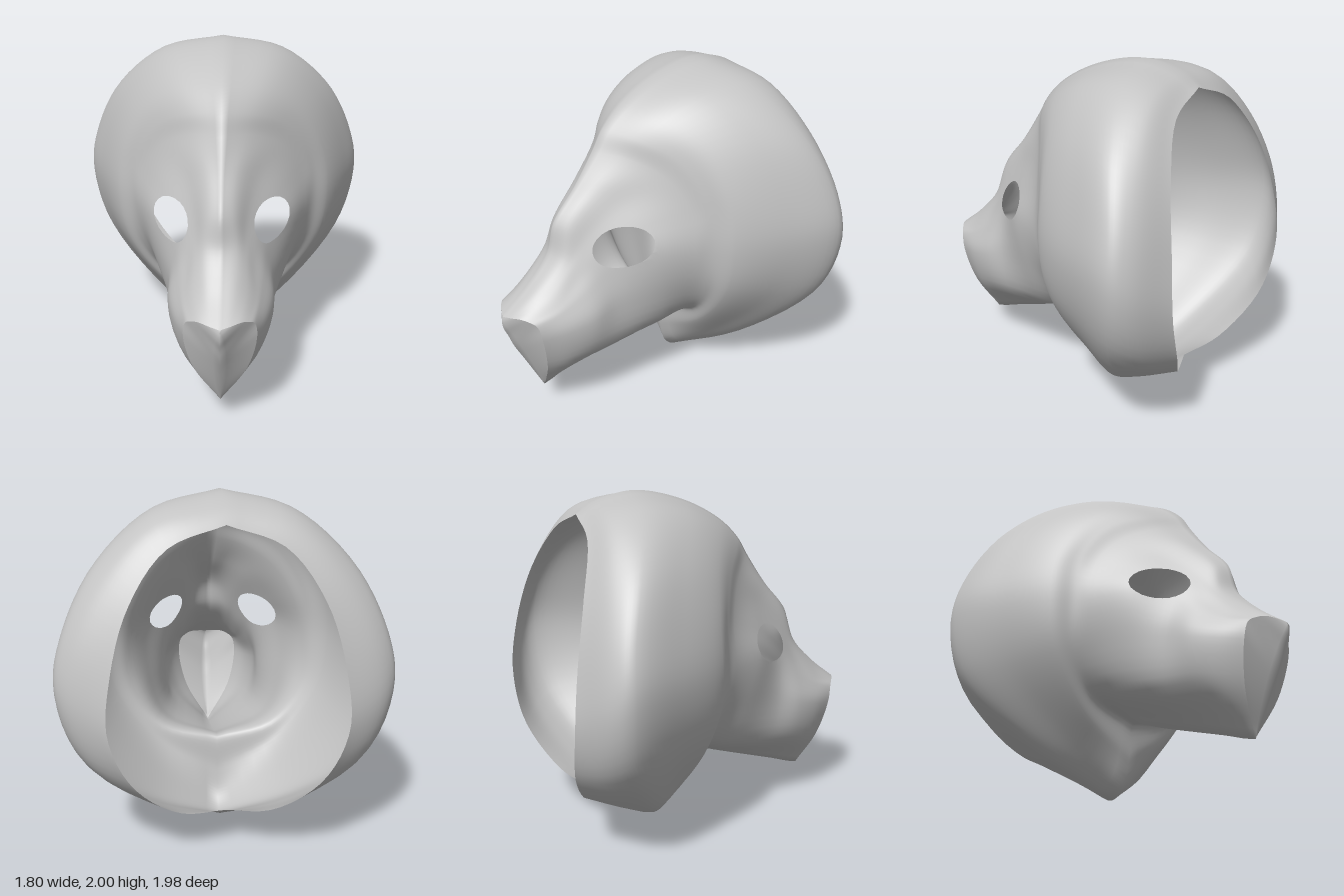
import * as THREE from 'three';
import { mergeVertices } from 'three/addons/utils/BufferGeometryUtils.js';

const V = (p) => new THREE.Vector3(...p);
const HALF = 36; // segments from the top centre line to the bottom one

// Half cross-sections [x, y, z] from top to bottom, running from back to front
const RIM = [[0, 1.88, -.74], [.3, 1.77, -.78], [.5, 1.5, -.88], [.6, 1.15, -.96], [.62, .85, -.99], [.5, .55, -.96], [.25, .31, -.83], [0, .26, -.73]];
const LIP = [[0, 1.95, -.62], [.36, 1.87, -.67], [.63, 1.6, -.77], [.8, 1.25, -.85], [.84, .95, -.87], [.72, .6, -.83], [.36, .26, -.64], [0, .08, -.46]];
const WIDEST = [[0, 2, -.4], [.38, 1.91, -.48], [.68, 1.65, -.63], [.85, 1.32, -.74], [.9, 1.05, -.76], [.8, .66, -.72], [.42, .25, -.5], [0, 0, -.3]];
const CROWN = [[0, 1.94, -.1], [.33, 1.87, -.2], [.6, 1.65, -.35], [.76, 1.33, -.44], [.8, 1.05, -.45], [.71, .7, -.44], [.38, .32, -.32], [0, .06, -.21]];
const FOREHEAD = [[0, 1.82, .14], [.27, 1.77, .02], [.49, 1.61, -.11], [.63, 1.33, -.17], [.66, 1.05, -.17], [.6, .75, -.18], [.36, .43, -.18], [0, .22, -.165]];
const BROW = [[0, 1.7, .27], [.2, 1.66, .16], [.39, 1.56, .02], [.53, 1.33, -.07], [.56, 1.05, -.08], [.52, .77, -.11], [.34, .52, -.14], [0, .42, -.14]];
const FACE = [[0, 1.58, .345], [.17, 1.56, .22], [.35, 1.46, .08], [.47, 1.28, 0], [.51, 1.05, 0], [.47, .78, -.04], [.32, .53, -.08], [0, .43, -.11]];
const CHEEK = [[0, 1.4, .47], [.1, 1.4, .4], [.22, 1.33, .29], [.33, 1.2, .24], [.4, 1.05, .22], [.41, .8, .15], [.3, .5, .1], [0, .36, .08]];
const BRIDGE = [[0, 1.22, .62], [.08, 1.21, .57], [.15, 1.15, .5], [.22, 1.06, .46], [.27, .95, .43], [.31, .75, .4], [.27, .47, .36], [0, .27, .36]];
const SNOUT = [[0, 1.04, .67], [.09, 1.03, .64], [.14, 1, .61], [.19, .93, .59], [.245, .84, .58], [.3, .7, .56], [.25, .45, .56], [0, .21, .55]];
const BEAK = [[0, .88, .81], [.08, .875, .79], [.14, .85, .76], [.19, .8, .74], [.22, .76, .73], [.26, .66, .71], [.21, .42, .69], [0, .165, .68]];
const BEAK_EDGE = [[0, .74, .985], [.06, .75, .96], [.11, .755, .93], [.15, .745, .9], [.185, .72, .87], [.2, .63, .85], [.15, .4, .8], [0, .15, .74]];
const BEAK_RIDGE = [[0, .73, .99], [0, .7, .992], [0, .66, .985], [0, .6, .96], [0, .52, .93], [0, .42, .88], [0, .28, .81], [0, .15, .745]];

// Negative inside the tilted oval eye opening, measured in side projection
function eyeField(p) {
  const z = p.z - .345, y = p.y - 1.095, c = Math.cos(.44), s = Math.sin(.44);
  return ((z * c - y * s) / .155) ** 2 + ((z * s + y * c) / .105) ** 2 - 1;
}

// Keep only the part of a triangle outside the eye opening
function clipEye(tri, out) {
  const poly = [];
  tri.forEach((a, i) => {
    const b = tri[(i + 1) % 3], fa = eyeField(a), fb = eyeField(b);
    if (fa >= 0) poly.push(a);
    if (fa * fb < 0) poly.push(a.clone().lerp(b, fa / (fa - fb)));
  });
  for (let i = 2; i < poly.length; i++) out.push(poly[0], poly[i - 1], poly[i]);
}

// Smooth surface through mirrored half sections
function loft(sections, steps) {
  const rows = sections.map((s) => {
    const curve = new THREE.CatmullRomCurve3(s.map(V));
    return Array.from({ length: HALF + 1 }, (_, j) => curve.getPoint(j / HALF));
  });
  const n = (sections.length - 1) * steps;
  const columns = rows[0].map((_, j) => {
    const curve = new THREE.CatmullRomCurve3(rows.map((r) => r[j]));
    return Array.from({ length: n + 1 }, (_, i) => curve.getPoint(i / n));
  });
  // Mirror the inner columns to close the ring
  for (let j = HALF - 1; j > 0; j--) {
    columns.push(columns[j].map((p) => new THREE.Vector3(-p.x, p.y, p.z)));
  }
  const points = [];
  columns.forEach((col, j) => {
    const next = columns[(j + 1) % columns.length];
    for (let i = 0; i < n; i++) {
      clipEye([col[i], col[i + 1], next[i]], points);
      clipEye([col[i + 1], next[i + 1], next[i]], points);
    }
  });
  const geometry = mergeVertices(new THREE.BufferGeometry().setFromPoints(points), 1e-5);
  geometry.computeVertexNormals();
  return geometry;
}

export function createModel() {
  const group = new THREE.Group();
  group.name = 'birdMask';
  const grey = new THREE.MeshStandardMaterial({ color: 0xc4c4c4, side: THREE.DoubleSide });
  grey.name = 'light grey';

  const add = (name, geometry) => {
    const mesh = new THREE.Mesh(geometry, grey);
    mesh.name = name;
    group.add(mesh);
  };

  // Open-backed hood flowing into the face and muzzle
  add('hoodAndFace', loft([RIM, LIP, WIDEST, CROWN, FOREHEAD, BROW, FACE, CHEEK, BRIDGE, SNOUT, BEAK, BEAK_EDGE], 7));
  // Keeled front of the beak
  add('beakFront', loft([BEAK_EDGE, BEAK_RIDGE], 6));
  return group;
}
